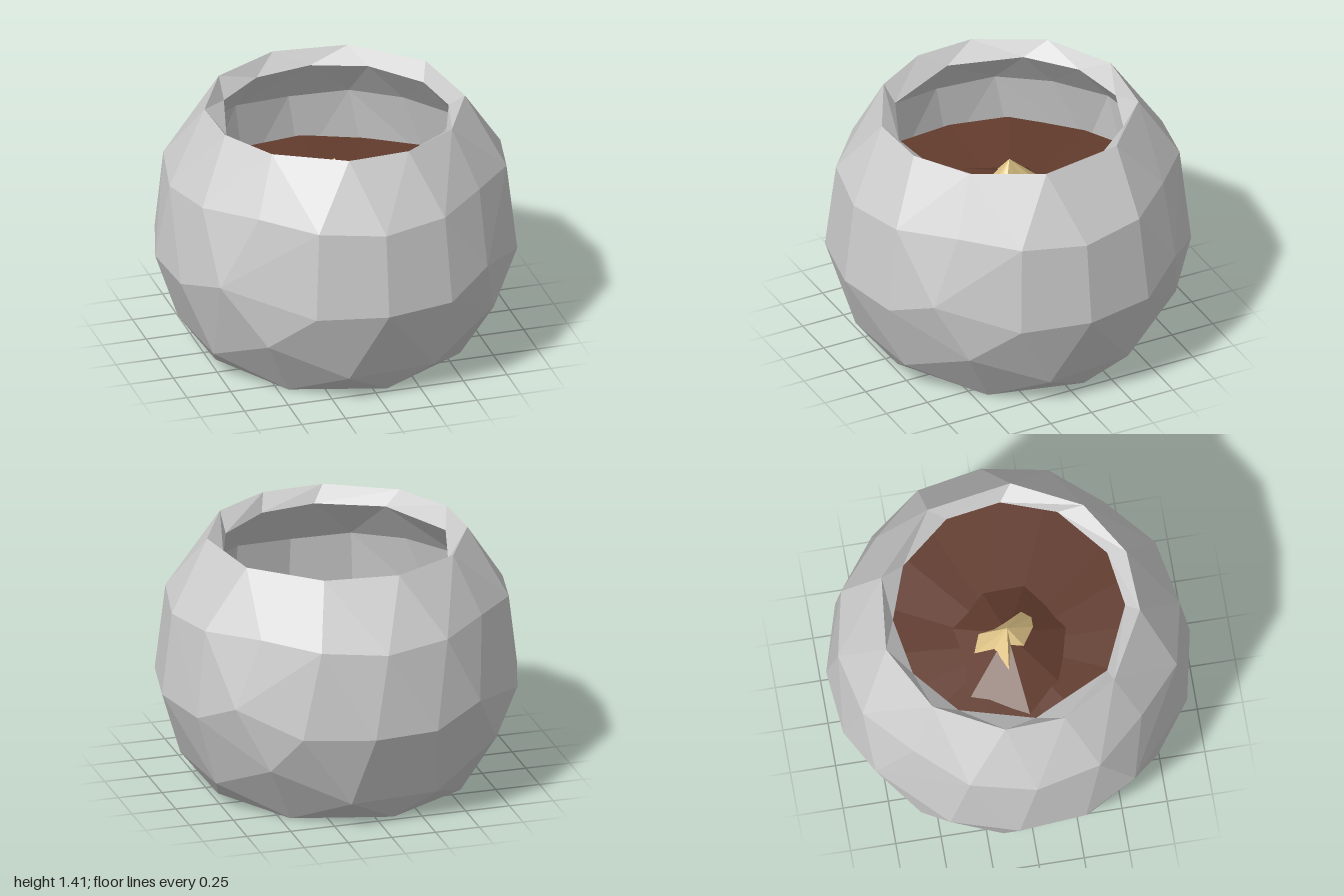
import * as THREE from 'three';
import { ConvexGeometry } from 'three/addons/geometries/ConvexGeometry.js';

const DEG = Math.PI / 180;
const polar = (deg, r, y) => new THREE.Vector3(r * Math.cos(deg * DEG), y, r * Math.sin(deg * DEG));
const ring = (angles, r, y) => angles.map((a) => polar(a, r, y));

function material(color) {
  return new THREE.MeshStandardMaterial({ color, flatShading: true, side: THREE.DoubleSide });
}

function fromTriangles(points) {
  const geo = new THREE.BufferGeometry().setFromPoints(points);
  geo.computeVertexNormals();
  return geo;
}

// Faceted convex shell with its top cap left open; flipped for an inside wall
function openShell(points, topY, inward = false) {
  const pos = new ConvexGeometry(points).getAttribute('position');
  const out = [];
  for (let i = 0; i < pos.count; i += 3) {
    const t = [0, 1, 2].map((k) => new THREE.Vector3().fromBufferAttribute(pos, i + k));
    if (t.every((p) => p.y > topY - 0.005)) continue;
    out.push(...(inward ? t.reverse() : t));
  }
  return fromTriangles(out);
}

// Fan of triangles from an apex down to a closed outline
function fan(apex, outline) {
  const out = [];
  outline.forEach((p, i) => out.push(apex, outline[(i + 1) % outline.length], p));
  return fromTriangles(out);
}

// Band between two closed loops with equal counts
function band(outer, inner) {
  const out = [];
  outer.forEach((a, i) => {
    const j = (i + 1) % outer.length;
    out.push(a, inner[i], outer[j], outer[j], inner[i], inner[j]);
  });
  return fromTriangles(out);
}

export function createModel() {
  const group = new THREE.Group();
  const add = (name, geo, color) => {
    const mesh = new THREE.Mesh(geo, material(color));
    mesh.name = name;
    group.add(mesh);
  };

  // Rings of the rounded, irregular pot
  const rim = ring([10, 44, 73, 101, 136, 164, 191, 225, 259, 293, 331], 0.715, 1.41);
  const lip = ring([5, 34, 67, 96, 132, 176, 215, 245, 275, 304, 337], 0.635, 1.33);
  const shoulder = [];
  for (let i = 0; i < 16; i++) {
    const [r, y] = [[0.945, 1.045], [0.94, 1.07], [0.89, 1.09], [0.94, 1.07]][i % 4];
    shoulder.push(polar(i * 22.5, r, y));
  }
  const raised = { 51: 0.69, 146: 0.67, 236: 0.67, 321: 0.7 };
  const bellyAngles = [0, 23, 51, 67.5, 90, 113, 146, 164.5, 186, 208, 236, 254, 275, 298, 321, 337];
  const belly = bellyAngles.map((a) => polar(a, 1, raised[a] ?? 0.577));
  const lower = [
    ...ring([11.5, 68, 102, 157.5, 191.5, 248, 282, 337.5], 0.86, 0.155),
    ...ring([40, 130, 220, 310], 0.94, 0.35),
  ];
  const foot = ring([36, 84, 128, 172, 218, 262, 308, 352], 0.72, 0);

  add('potOuterWall', openShell([...rim, ...shoulder, ...belly, ...lower, ...foot], 1.41), 0xcccccc);
  add('potRim', band(rim, lip), 0xcccccc);

  const thinner = (p) => new THREE.Vector3(p.x * 0.9, p.y, p.z * 0.9);
  add('potInnerWall', openShell([...lip, ...shoulder.map(thinner), ...belly.map(thinner)], 1.33, true), 0xcccccc);

  // Soil: a slightly uneven bed with a low mound in the middle
  const soilEdge = bellyAngles.map((a, i) => polar(a, 0.875, 0.78 + 0.012 * Math.sin(i * 2.3)));
  add('soil', fan(new THREE.Vector3(0, 0.81, 0), soilEdge), 0x633c2e);

  const moundOutline = [
    [0.34, -0.1], [0.35, 0.15], [0.05, 0.35], [-0.27, 0.25], [-0.43, 0.05], [-0.28, -0.27], [0.15, -0.3],
  ].map(([x, z]) => new THREE.Vector3(x, 0.785, z));
  add('soilMound', fan(new THREE.Vector3(0, 0.99, -0.01), moundOutline), 0x633c2e);

  // Three-lobed sprout poking out of the mound
  const sproutOutline = [
    [0.05, -0.16], [0.05, -0.07], [0.08, 0.0], [0.14, 0.09], [0.1, 0.14], [0.04, 0.14],
    [-0.07, 0.07], [-0.06, 0.0], [-0.18, -0.03], [-0.06, -0.09], [-0.05, -0.2],
  ].map(([x, z]) => new THREE.Vector3(x, 0.99 - 0.5 * Math.hypot(x, z), z));
  add('sprout', fan(new THREE.Vector3(0, 1.07, -0.01), sproutOutline), 0xe0c588);

  return group;
}
